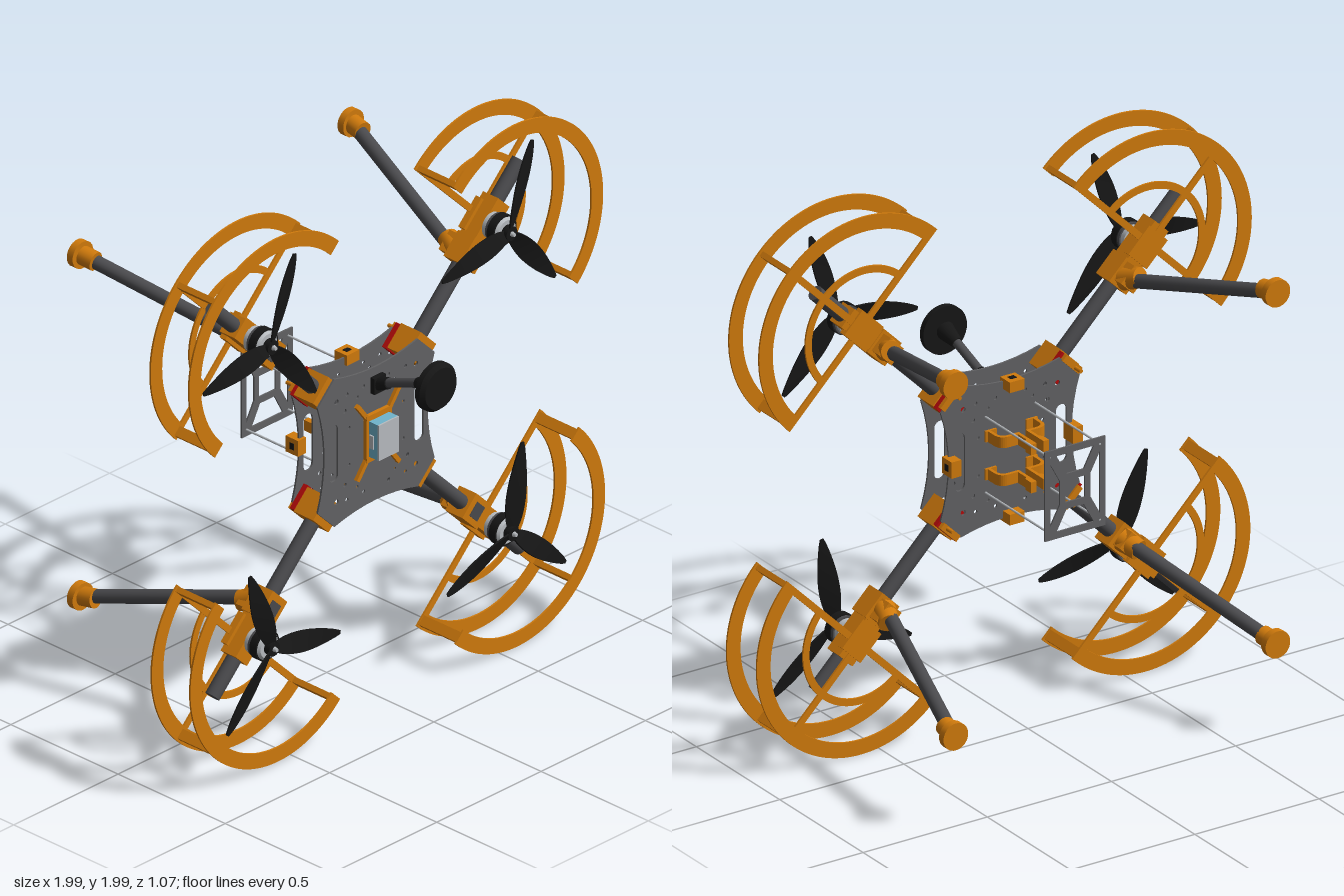
import * as THREE from 'three';

const mat = (name, color) => {
  const m = new THREE.MeshStandardMaterial({ color });
  m.name = name;
  return m;
};
const M = {
  orange: mat('orange plastic', 0xd07a0c),
  plate: mat('grey plate', 0x626264),
  tube: mat('dark tube', 0x4a4a4d),
  black: mat('black', 0x161616),
  red: mat('red', 0xb40a0a),
  blue: mat('light blue', 0x6fb4cc),
  silver: mat('silver', 0xb8bcc0),
};
const CY = 1.004;

function add(parent, name, geo, material, x = 0, y = 0, z = 0) {
  const m = new THREE.Mesh(geo, material);
  m.name = name;
  m.position.set(x, y, z);
  parent.add(m);
  return m;
}
// box given by its limits
function block(parent, name, material, x0, x1, y0, y1, z0, z1) {
  return add(parent, name, new THREE.BoxGeometry(x1 - x0, y1 - y0, z1 - z0), material,
    (x0 + x1) / 2, (y0 + y1) / 2, (z0 + z1) / 2);
}
// cylinder between two points
function rod(parent, name, material, a, b, r0, r1 = r0, sides = 20) {
  const A = new THREE.Vector3(...a), B = new THREE.Vector3(...b), d = B.clone().sub(A);
  const m = add(parent, name, new THREE.CylinderGeometry(r1, r0, d.length(), sides), material);
  m.position.copy(A).add(B).multiplyScalar(0.5);
  m.quaternion.setFromUnitVectors(new THREE.Vector3(0, 1, 0), d.normalize());
  return m;
}
const extrude = (shape, depth, curveSegments = 24) =>
  new THREE.ExtrudeGeometry(shape, { depth, bevelEnabled: false, curveSegments });
const polygon = (points, Type = THREE.Shape) => new Type(points.map(p => new THREE.Vector2(...p)));

function halfRing(inner, outer) {
  const s = new THREE.Shape();
  s.absarc(0, 0, outer, -Math.PI / 2, Math.PI / 2, false);
  s.absarc(0, 0, inner, Math.PI / 2, -Math.PI / 2, true);
  return extrude(s, 0.007, 40);
}

// tapered, twisted propeller blade along +x
function bladeGeometry(dir) {
  const g = new THREE.BoxGeometry(0.33, 1, 0.006, 16, 2, 1);
  const p = g.attributes.position;
  for (let i = 0; i < p.count; i++) {
    const t = THREE.MathUtils.clamp(p.getX(i) / 0.33 + 0.5, 0, 1);
    const bulge = Math.max(0, Math.sin(Math.PI * Math.pow(t, 0.8)));
    const y = p.getY(i) * (0.012 + 0.062 * Math.pow(bulge, 0.8));
    const z = p.getZ(i);
    const a = dir * 0.5 * (1 - t);
    p.setXYZ(i, t * 0.33, y * Math.cos(a) - z * Math.sin(a), y * Math.sin(a) + z * Math.cos(a));
  }
  g.computeVertexNormals();
  return g;
}

// one arm, built with +x pointing outward along the diagonal
function buildArm(angle, d, bladeAngle, dir) {
  const arm = new THREE.Group();
  arm.name = 'arm';
  arm.position.y = CY;
  arm.rotation.z = angle;
  rod(arm, 'armTube', M.tube, [0.24, 0, 0.182], [1.04, 0, 0.182], 0.027);

  // clamp at the body corner
  block(arm, 'cornerClamp', M.orange, 0.27, 0.365, -0.052, 0.052, 0.132, 0.224);
  block(arm, 'cornerSpacer', M.red, 0.265, 0.36, -0.055, 0.055, 0.113, 0.132);
  block(arm, 'cornerTab', M.orange, 0.335, 0.36, -0.045, 0.045, 0.098, 0.113);
  rod(arm, 'cornerPeg', M.orange, [0.345, 0.02, 0.065], [0.345, 0.02, 0.105], 0.007, 0.007, 10);

  // leg clamp and motor mount
  block(arm, 'legClamp', M.orange, d - 0.17, d - 0.07, -0.048, 0.048, 0.142, 0.222);
  block(arm, 'clampPocket', M.tube, d - 0.145, d - 0.095, -0.027, 0.027, 0.22, 0.225);
  block(arm, 'motorMount', M.orange, d - 0.07, d + 0.085, -0.038, 0.038, 0.145, 0.216);
  block(arm, 'mountFoot', M.orange, d - 0.06, d + 0.06, -0.052, 0.052, 0.138, 0.165);

  // landing leg
  const l0 = d - 0.125;
  rod(arm, 'legSocket', M.orange, [l0 - 0.005, 0, 0.145], [l0 + 0.025, 0, 0.08], 0.042, 0.036);
  block(arm, 'legLug', M.orange, l0 - 0.03, l0 + 0.045, -0.035, 0.035, 0.1, 0.145);
  rod(arm, 'legTube', M.tube, [l0, 0, 0.11], [0.905, 0, -0.48], 0.025);
  rod(arm, 'footCollar', M.orange, [0.905, 0, -0.455], [0.915, 0, -0.51], 0.034);
  rod(arm, 'footPad', M.orange, [0.917, 0, -0.506], [0.917, 0, -0.533], 0.05);

  // motor
  rod(arm, 'motorBase', M.silver, [d, 0, 0.216], [d, 0, 0.236], 0.046);
  rod(arm, 'motorCoil', M.tube, [d, 0, 0.236], [d, 0, 0.248], 0.052);
  rod(arm, 'motorBell', M.black, [d, 0, 0.248], [d, 0, 0.279], 0.056);
  rod(arm, 'motorCap', M.silver, [d, 0, 0.279], [d, 0, 0.288], 0.05, 0.042);
  rod(arm, 'propHub', M.black, [d, 0, 0.288], [d, 0, 0.312], 0.026);
  rod(arm, 'propNut', M.silver, [d, 0, 0.312], [d, 0, 0.325], 0.01, 0.007, 6);
  const blade = bladeGeometry(dir);
  for (let k = 0; k < 3; k++) {
    add(arm, 'propBlade', blade, M.black, d, 0, 0.302).rotation.z =
      bladeAngle - angle + k * Math.PI * 2 / 3;
  }

  // guard: two outer half rings, an inner one, spokes and posts
  for (const z of [0.142, 0.322]) add(arm, 'guardRing', halfRing(0.365, 0.42), M.orange, d, 0, z);
  add(arm, 'guardInnerRing', halfRing(0.208, 0.234), M.orange, d, 0, 0.142);
  for (const k of [-1, 0, 1]) {
    const holder = new THREE.Group();
    holder.name = 'guardSpokeAndPost';
    holder.position.x = d;
    holder.rotation.z = k * Math.PI / 2;
    const off = -k * 0.012;
    block(holder, 'guardSpoke', M.orange, 0.03, 0.38, off - 0.012, off + 0.012, 0.142, 0.15);
    block(holder, 'guardPost', M.orange, 0.375, 0.412, off - 0.01, off + 0.01, 0.146, 0.325);
    arm.add(holder);
  }
  return arm;
}

// body plate with concave sides, slots and screw holes
function bodyPlate() {
  const s = new THREE.Shape();
  const c = [[0.28, -0.2], [0.28, 0.2], [0.2, 0.28], [-0.2, 0.28], [-0.28, 0.2], [-0.28, -0.2], [-0.2, -0.28], [0.2, -0.28]];
  const bend = [[0.215, 0], [0, 0.225], [-0.215, 0], [0, -0.225]];
  s.moveTo(...c[0]);
  for (let i = 0; i < 4; i++) {
    s.quadraticCurveTo(...bend[i], ...c[2 * i + 1]);
    s.lineTo(...c[(2 * i + 2) % 8]);
  }
  const screws = [[0.19, 0.19, 0.01], [0.14, 0.2, 0.007], [0.15, 0.14, 0.008],
    [0.06, 0.2, 0.007], [0.13, 0.07, 0.006], [0.09, 0.17, 0.006]];
  for (const sx of [-1, 1]) {
    const slot = new THREE.Path();
    slot.absarc(sx * 0.205, 0.085, 0.022, 0, Math.PI, false);
    slot.absarc(sx * 0.205, -0.085, 0.022, Math.PI, Math.PI * 2, false);
    s.holes.push(slot);
    for (const sy of [-1, 1]) for (const [x, y, r] of screws) {
      const h = new THREE.Path();
      h.absarc(sx * x, sy * y, r, 0, Math.PI * 2, false);
      s.holes.push(h);
    }
  }
  return extrude(s, 0.007, 8);
}

// rear plate with four cut-outs around an open centre
function payloadPlate() {
  const s = polygon([[-0.122, -0.165], [0.122, -0.165], [0.122, 0.165], [-0.122, 0.165]]);
  const cut = points => s.holes.push(polygon(points, THREE.Path));
  cut([[-0.04, -0.04], [-0.04, 0.04], [0.04, 0.04], [0.04, -0.04]]);
  for (const k of [-1, 1]) {
    cut([[-0.075, k * 0.14], [0.075, k * 0.14], [0.035, k * 0.065], [-0.035, k * 0.065]]);
    cut([[k * 0.1, -0.115], [k * 0.1, 0.115], [k * 0.062, 0.045], [k * 0.062, -0.045]]);
  }
  return extrude(s, 0.006);
}

// half of a payload strap: curved wall, shoulder and upright tab (x, height)
function strapGeometry() {
  const s = polygon([[0.105, 0], [0.105, 0.01], [0.097, 0.012], [0.097, 0.05]]);
  s.quadraticCurveTo(0.095, 0.085, 0.06, 0.085);
  for (const p of [[0.026, 0.085], [0.026, 0.135], [0.036, 0.145], [0.036, 0.18], [0.014, 0.18], [0.014, 0.073], [0.055, 0.073]])
    s.lineTo(...p);
  s.quadraticCurveTo(0.085, 0.073, 0.085, 0.045);
  for (const p of [[0.085, 0.01], [0.06, 0.01], [0.06, 0]]) s.lineTo(...p);
  return extrude(s, 0.04, 8).translate(0, 0, -0.02).rotateX(-Math.PI / 2);
}

export function createModel() {
  const root = new THREE.Group();
  root.name = 'quadcopter';
  const rad = Math.PI / 180;
  root.add(buildArm(135 * rad, 0.815, 70 * rad, 1));
  root.add(buildArm(45 * rad, 0.802, 71 * rad, 1));
  root.add(buildArm(225 * rad, 0.807, 109 * rad, -1));
  root.add(buildArm(315 * rad, 0.815, 81 * rad, -1));

  // body
  const body = new THREE.Group();
  body.name = 'body';
  body.position.y = CY;
  root.add(body);
  const plate = bodyPlate();
  add(body, 'frontPlate', plate, M.plate, 0, 0, 0.224);
  add(body, 'rearPlate', plate, M.plate, 0, 0, 0.106);
  for (let i = 0; i < 4; i++) {
    const clip = new THREE.Group();
    clip.name = 'sideClip';
    clip.rotation.z = i * Math.PI / 2;
    block(clip, 'clipBody', M.orange, 0.225, 0.264, -0.03, 0.03, 0.065, 0.123);
    block(clip, 'clipHole', M.black, 0.262, 0.266, -0.012, 0.012, 0.085, 0.105);
    body.add(clip);
  }

  // controller in its mounting frame
  block(body, 'controllerCase', M.blue, -0.048, 0.048, -0.067, 0.067, 0.231, 0.284);
  block(body, 'controllerFace', M.silver, -0.048, 0.048, -0.067, 0.067, 0.284, 0.29);
  for (const s of [-1, 1]) {
    block(body, 'controllerPort', M.silver, s * 0.05 - 0.004, s * 0.05 + 0.004, -0.03, 0.02, 0.25, 0.268);
    block(body, 'frameBar', M.orange, -0.06, 0.06, s * 0.078 - 0.01, s * 0.078 + 0.01, 0.231, 0.246);
    block(body, 'frameSide', M.orange, s * 0.055 - 0.006, s * 0.055 + 0.006, -0.07, 0.07, 0.231, 0.246);
    for (const t of [-1, 1]) {
      const leg = add(body, 'frameLeg', new THREE.BoxGeometry(0.075, 0.016, 0.014), M.orange, s * 0.078, t * 0.112, 0.238);
      leg.rotation.z = s * t * 0.93;
      rod(body, 'payloadRod', M.silver, [s * 0.1, t * 0.14, 0.106], [s * 0.1, t * 0.14, -0.283], 0.004, 0.004, 8);
    }
  }
  add(body, 'payloadPlate', payloadPlate(), M.plate, 0, 0, -0.283);

  // payload straps behind the body, each from two halves
  const strap = strapGeometry();
  for (const y of [-0.07, 0.07]) for (const turn of [0, Math.PI])
    add(body, 'payloadStrap', strap, M.orange, 0, y, 0.108).rotation.z = turn;

  // antenna mast
  const mast = new THREE.Group();
  mast.name = 'antennaMast';
  root.add(mast);
  block(mast, 'mastBase', M.black, -0.028, 0.028, 1.165, 1.225, 0.231, 0.25);
  rod(mast, 'mastSocket', M.black, [0, 1.195, 0.235], [0, 1.215, 0.29], 0.026, 0.02);
  rod(mast, 'mastTube', M.tube, [0, 1.205, 0.26], [0, 1.272, 0.44], 0.016);
  rod(mast, 'mastCone', M.black, [0, 1.266, 0.425], [0, 1.285, 0.5], 0.02, 0.034);
  rod(mast, 'antennaDisc', M.black, [0, 1.285, 0.497], [0, 1.285, 0.518], 0.088, 0.088, 40);
  rod(mast, 'antennaDome', M.black, [0, 1.285, 0.518], [0, 1.285, 0.533], 0.088, 0.075, 40);
  return root;
}
